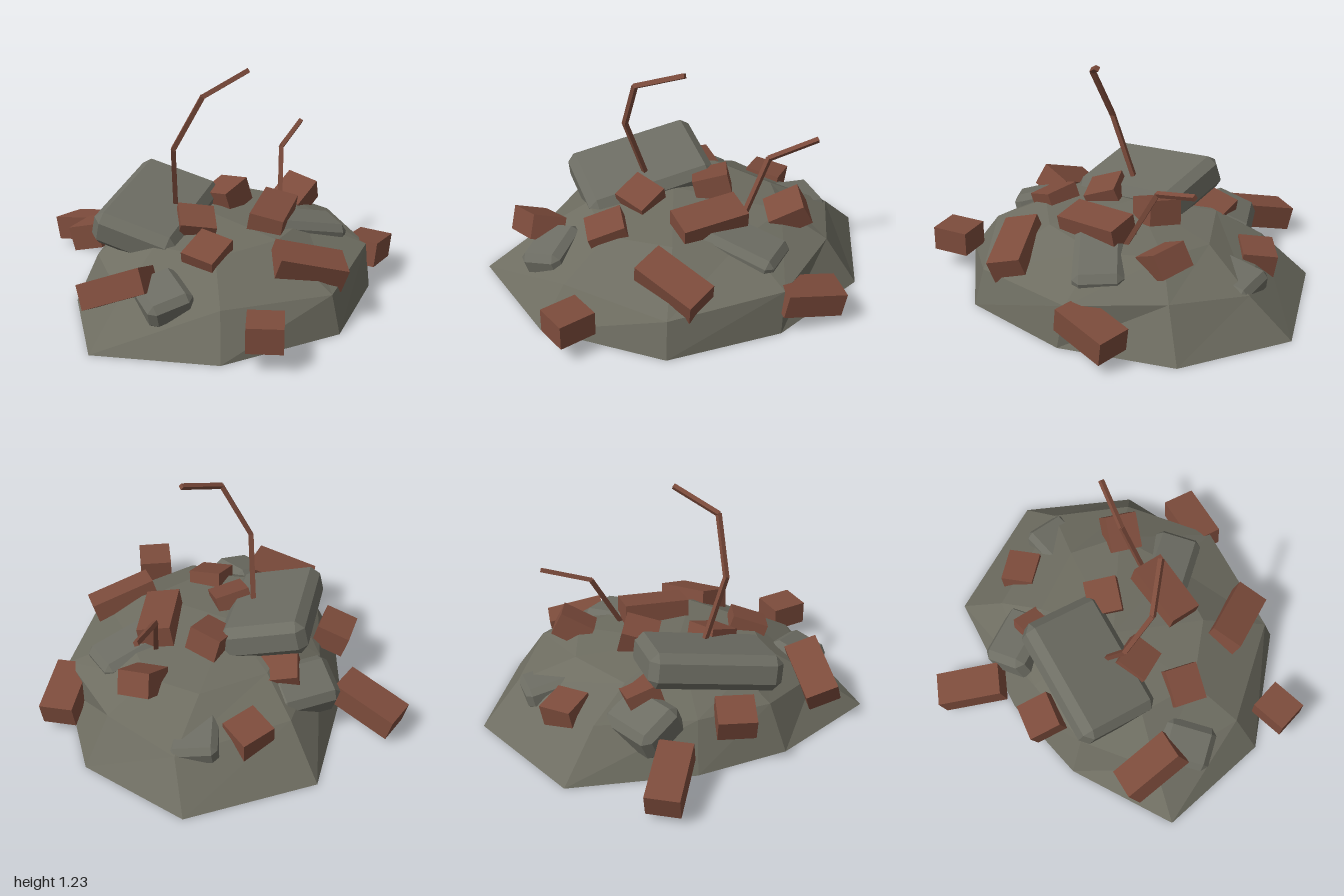
import * as THREE from 'three';
import { ConvexGeometry } from 'three/addons/geometries/ConvexGeometry.js';

const mat = (name, color, extra = {}) =>
  Object.assign(new THREE.MeshStandardMaterial({ color, flatShading: true, ...extra }), { name });
const V = (a) => new THREE.Vector3(...a);

// Orient a mesh so its length (x) follows dir and its top leans toward up
function place(mesh, name, centre, dir, up) {
  const x = V(dir).normalize();
  const z = x.clone().cross(V(up)).normalize();
  const y = z.clone().cross(x);
  mesh.quaternion.setFromRotationMatrix(new THREE.Matrix4().makeBasis(x, y, z));
  mesh.position.set(...centre);
  mesh.name = name;
  return mesh;
}

// Box with every edge chamfered by b
function chamferedBox(w, h, d, b) {
  const pts = [];
  for (const sx of [-1, 1]) for (const sy of [-1, 1]) for (const sz of [-1, 1]) {
    const [x, y, z] = [w / 2, h / 2, d / 2];
    pts.push(V([sx * x, sy * (y - b), sz * (z - b)]),
      V([sx * (x - b), sy * y, sz * (z - b)]),
      V([sx * (x - b), sy * (y - b), sz * z]));
  }
  return new ConvexGeometry(pts);
}

// Open faceted shell lofted through three rings and closed at the peak
function moundGeometry() {
  const rings = [
    [[.41, 0, -.83], [.985, 0, -.41], [.985, 0, .21], [.59, 0, .67], [.03, 0, .92],
      [-.62, 0, .73], [-.99, 0, .21], [-.64, 0, -.30], [-.23, 0, -.59]],
    [[.31, .24, -.60], [.83, .21, -.25], [.82, .25, .18], [.60, .23, .63], [.03, .195, .865],
      [-.51, .21, .62], [-.73, .20, .15], [-.54, .25, -.24], [-.20, .25, -.46]],
    [[.20, .37, -.38], [.52, .36, -.18], [.58, .37, .10], [.38, .36, .38], [.03, .38, .50],
      [-.32, .36, .40], [-.45, .37, .10], [-.38, .37, -.18], [-.12, .37, -.30]],
  ];
  const peak = [0, .42, 0], pos = [], n = rings[0].length;
  const tri = (...p) => p.forEach((q) => pos.push(...q));
  for (let i = 0; i < n; i++) {
    const j = (i + 1) % n;
    for (let r = 0; r < 2; r++) {
      const lo = rings[r], hi = rings[r + 1];
      tri(lo[j], lo[i], hi[i]);
      tri(lo[j], hi[i], hi[j]);
    }
    tri(rings[2][j], rings[2][i], peak);
  }
  const g = new THREE.BufferGeometry();
  g.setAttribute('position', new THREE.Float32BufferAttribute(pos, 3));
  g.computeVertexNormals();
  return g;
}

// Bent bar made of straight square lengths that overlap at each bend
function bentBar(name, points, material) {
  const group = new THREE.Group();
  group.name = name;
  for (let i = 0; i < points.length - 1; i++) {
    const a = V(points[i]), b = V(points[i + 1]);
    const d = b.clone().sub(a), len = d.length();
    const m = new THREE.Mesh(new THREE.CylinderGeometry(.017, .017, len + .006, 4), material);
    m.position.copy(a).add(b).multiplyScalar(.5);
    m.quaternion.setFromUnitVectors(V([0, 1, 0]), d.normalize());
    m.name = 'barLength';
    group.add(m);
  }
  return group;
}

export function createModel() {
  const model = new THREE.Group();
  model.name = 'rubblePile';
  const dust = mat('dust', 0x6e6d61, { side: THREE.DoubleSide });
  const concrete = mat('concrete', 0x6d6d63);
  const brickRed = mat('brickRed', 0x7d4c3c);
  const rust = mat('rust', 0x7c4b3b);

  const mound = new THREE.Mesh(moundGeometry(), dust);
  mound.name = 'mound';
  model.add(mound);

  // Half-buried broken concrete: size, chamfer, centre, length direction, up
  const slabs = [
    [[.71, .19, .46], .045, [-.19, .418, -.16], [.64, .11, -.28], [0, 1, .28]],
    [[.35, .19, .27], .04, [.07, .235, -.51], [.24, 0, .16], [.1, 1, -.45]],
    [[.25, .12, .30], .03, [.65, .21, -.245], [.12, -.03, .2], [.2, 1, 0]],
    [[.29, .14, .24], .035, [-.61, .215, .325], [.08, .05, -.22], [-.3, 1, .1]],
    [[.43, .16, .26], .035, [.38, .30, .36], [.30, -.07, .13], [0, 1, .05]],
  ];
  for (const [size, b, c, dir, up] of slabs) {
    model.add(place(new THREE.Mesh(chamferedBox(...size, b), concrete), 'concreteChunk', c, dir, up));
  }

  // Whole and half bricks: length, centre, length direction, up
  const bricks = [
    [.36, [-.13, .14, -.81], [0, .26, 1], [0, 1, 0]],
    [.36, [.05, .293, .69], [.29, -.09, .20], [.1, 1, .4]],
    [.36, [.205, .415, .305], [.33, .02, -.18], [0, 1, .2]],
    [.32, [.725, .15, .545], [.30, -.06, -.12], [.15, 1, 0]],
    [.35, [-.72, .235, .12], [.16, .13, .28], [.35, 1, 0]],
    [.20, [-.455, .165, .86], [.15, 0, -.13], [0, 1, 0]],
    [.20, [-.39, .28, -.435], [.20, 0, -.06], [-.4, 1, -.2]],
    [.19, [.495, .222, -.465], [.17, -.02, .06], [.2, 1, -.08]],
    [.20, [.61, .37, .11], [.20, .10, -.02], [-.1, 1, .2]],
    [.19, [.205, .44, -.03], [.20, .05, -.02], [0, 1, -.15]],
    [.20, [-.315, .35, .34], [.20, .07, -.04], [-.2, 1, .2]],
    [.19, [-.165, .405, .10], [.15, -.03, .11], [.05, 1, .5]],
    [.21, [.11, .32, -.40], [.10, -.04, .17], [.3, 1, 0]],
  ];
  for (const [len, c, dir, up] of bricks) {
    const name = len > .3 ? 'brick' : 'halfBrick';
    model.add(place(new THREE.Mesh(new THREE.BoxGeometry(len, .13, .18), brickRed), name, c, dir, up));
  }

  // Rusted reinforcing bars
  model.add(bentBar('tallBar',
    [[-.06, .12, -.14], [-.25, .82, .03], [-.18, 1.11, .17], [.07, 1.21, .24]], rust));
  model.add(bentBar('shortBar',
    [[.28, .15, .29], [.50, .68, .10], [.75, .755, .02]], rust));
  return model;
}
